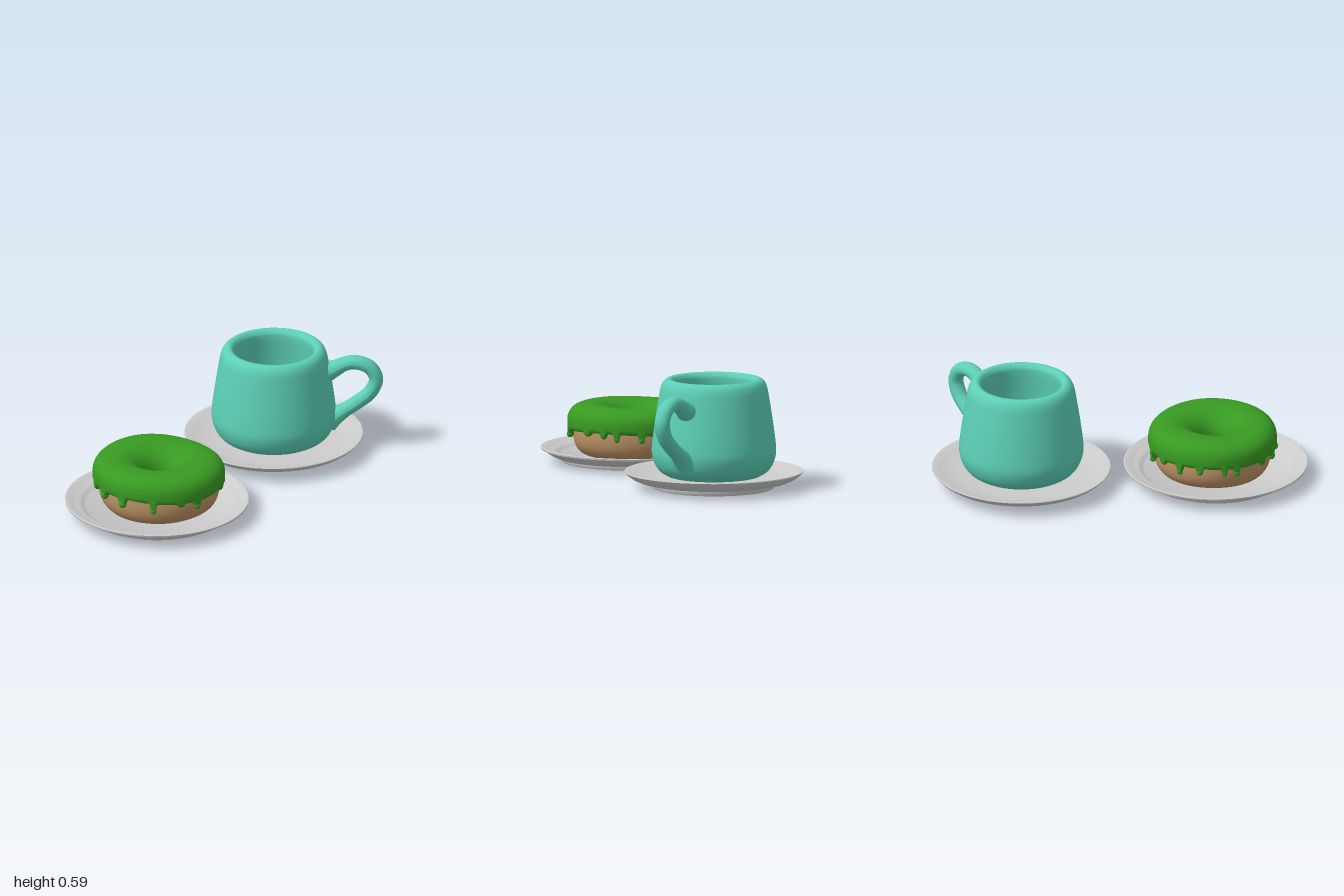
import * as THREE from 'three';
import { toCreasedNormals } from 'three/addons/utils/BufferGeometryUtils.js';

const glaze = new THREE.MeshStandardMaterial({ color: 0x5ccfb5 });
const china = new THREE.MeshStandardMaterial({ color: 0xcccccc });
const icingGreen = new THREE.MeshStandardMaterial({ color: 0x389a22 });
const doughTan = new THREE.MeshStandardMaterial({ color: 0xba9164 });

glaze.name = 'turquoiseGlaze';
china.name = 'paleChina';
icingGreen.name = 'greenIcing';
doughTan.name = 'tanDough';

const vec = (pts) => pts.map(([x, y]) => new THREE.Vector2(x, y));

function mesh(name, geometry, material) {
  const m = new THREE.Mesh(geometry, material);
  m.name = name;
  return m;
}

// Lathe with sharp edges kept
function dish(name, pts) {
  return mesh(name, toCreasedNormals(new THREE.LatheGeometry(vec(pts), 96), 0.6), china);
}

// Closed ring whose [radius, height] section may change with the angle
function ringSweep(n, section) {
  const pos = [], idx = [];
  let m = 0;
  for (let i = 0; i < n; i++) {
    const a = (i / n) * Math.PI * 2;
    const pts = section(a);
    m = pts.length;
    for (const [r, y] of pts) pos.push(r * Math.sin(a), y, r * Math.cos(a));
  }
  for (let i = 0; i < n; i++) {
    const p = i * m, q = ((i + 1) % n) * m;
    for (let j = 0; j < m - 1; j++) {
      idx.push(p + j, p + j + 1, q + j, q + j, p + j + 1, q + j + 1);
    }
  }
  const g = new THREE.BufferGeometry();
  g.setAttribute('position', new THREE.Float32BufferAttribute(pos, 3));
  g.setIndex(idx);
  g.computeVertexNormals();
  return g;
}

// Signed power, for superellipse sections
const spow = (v, e) => Math.sign(v) * Math.pow(Math.abs(v), e);

function makeCup() {
  const cup = new THREE.Group();
  cup.name = 'cup';
  const profile = new THREE.SplineCurve(vec([
    [0.001, 0.06], [0.2, 0.06], [0.265, 0.078], [0.305, 0.115], [0.328, 0.175],
    [0.329, 0.235], [0.313, 0.36], [0.291, 0.5], [0.28, 0.55], [0.263, 0.578],
    [0.238, 0.588], [0.218, 0.575], [0.211, 0.54], [0.225, 0.4], [0.232, 0.25],
    [0.21, 0.165], [0.155, 0.13], [0.001, 0.13],
  ]));
  cup.add(mesh('cupBody', new THREE.LatheGeometry(profile.getPoints(100), 96), glaze));

  // Looped handle, flared where it joins the wall
  const path = new THREE.CatmullRomCurve3([
    [0.262, 0.44], [0.32, 0.465], [0.38, 0.495], [0.436, 0.504], [0.51, 0.475],
    [0.543, 0.41], [0.515, 0.335], [0.449, 0.276], [0.36, 0.215], [0.29, 0.17],
  ].map(([x, y]) => new THREE.Vector3(x, y, 0)));
  const segs = 72, sides = 20;
  const tube = new THREE.TubeGeometry(path, segs, 0.038, sides);
  const p = tube.attributes.position, v = new THREE.Vector3();
  for (let i = 0; i < p.count; i++) {
    const u = Math.floor(i / (sides + 1)) / segs;
    const c = path.getPointAt(u);
    const flare = 1 + 0.75 * Math.pow(Math.max(0, Math.abs(u - 0.5) * 2 - 0.6) / 0.4, 2);
    v.fromBufferAttribute(p, i).sub(c).multiplyScalar(flare);
    v.z *= 1.1;
    v.add(c);
    p.setXYZ(i, v.x, v.y, v.z);
  }
  tube.computeVertexNormals();
  const handle = mesh('cupHandle', tube, glaze);
  handle.rotation.y = 0.67;
  cup.add(handle);
  return cup;
}

// Icing drips: [angle from the front, length, half width]
const drips = [
  [-1.4, 0.035, 0.045], [-1.19, 0.035, 0.05], [-0.66, 0.027, 0.055], [-0.335, 0.032, 0.06],
  [0.07, 0.042, 0.065], [0.59, 0.052, 0.05], [1.03, 0.018, 0.06], [1.32, 0.036, 0.055],
  [1.98, 0.02, 0.06], [2.29, 0.028, 0.05], [2.51, 0.038, 0.045], [2.9, 0.036, 0.05],
  [-1.8, 0.03, 0.055], [-2.15, 0.045, 0.05], [-2.5, 0.025, 0.06], [-2.88, 0.05, 0.05],
];

function icingEdge(a) {
  let y = 0.188 + 0.005 * Math.sin(3 * a + 1);
  for (const [at, len, w] of drips) {
    const d = Math.atan2(Math.sin(a - at), Math.cos(a - at)) / w;
    y -= len * Math.exp(-d * d * d * d);
  }
  return y;
}

function makeDonut() {
  const donut = new THREE.Group();
  donut.name = 'donut';

  donut.add(mesh('dough', ringSweep(96, (a) => {
    const low = 0.0325 - 0.006 * Math.cos(2 * a) - 0.003 * Math.cos(a);
    const pts = [];
    for (let j = 0; j <= 40; j++) {
      const t = Math.PI - (j / 40) * Math.PI * 2;
      const s = spow(Math.sin(t), 0.87);
      pts.push([0.208 + 0.12 * spow(Math.cos(t), 0.87), 0.16 + s * (s > 0 ? 0.12 : 0.16 - low)]);
    }
    return pts;
  }), doughTan));

  donut.add(mesh('icing', ringSweep(360, (a) => {
    const top = 0.321 + 0.005 * Math.sin(2 * a - 0.6) + 0.003 * Math.cos(3 * a);
    const edge = icingEdge(a);
    const pts = [[0.1, 0.15], [0.087, 0.17]];
    for (let j = 0; j <= 28; j++) {
      const t = Math.PI * (1 - j / 28);
      const inner = t > Math.PI / 2;
      const e = inner ? 1 : 0.8;
      const base = inner ? 0.19 : 0.222;
      pts.push([
        0.237 + (inner ? 0.155 : 0.123) * spow(Math.cos(t), e),
        base + (top - base) * spow(Math.sin(t), e),
      ]);
    }
    // Rounded lower lip tucked back into the dough
    pts.push([0.36, edge + 0.022], [0.357, edge + 0.01], [0.35, edge + 0.002],
      [0.341, edge], [0.332, edge + 0.004], [0.318, edge + 0.014]);
    return pts;
  }), icingGreen));

  // Beads at the drip tips
  for (const [a, len, w] of drips) {
    if (len < 0.03) continue;
    const bead = mesh('dripBead', new THREE.SphereGeometry(w * 0.34, 16, 12), icingGreen);
    bead.position.set(0.346 * Math.sin(a), icingEdge(a) + 0.012, 0.346 * Math.cos(a));
    donut.add(bead);
  }
  donut.scale.z = 0.95;
  return donut;
}

export function createModel() {
  const model = new THREE.Group();
  model.name = 'cupAndDonut';

  const saucer = dish('saucer', [
    [0, 0.018], [0.285, 0.018], [0.292, 0.004], [0.3, 0], [0.315, 0.001], [0.32, 0.008],
    [0.322, 0.026], [0.36, 0.031], [0.4, 0.04], [0.435, 0.055], [0.46, 0.073], [0.475, 0.09],
    [0.473, 0.094], [0.466, 0.094], [0.43, 0.082], [0.38, 0.07], [0.32, 0.063], [0, 0.06],
  ]);
  const cup = makeCup();
  for (const part of [saucer, cup]) part.position.set(-0.04, 0, -0.525);

  const plate = dish('plate', [
    [0, 0.03], [0.355, 0.03], [0.36, 0.012], [0.366, 0.007], [0.376, 0.007], [0.38, 0.012],
    [0.382, 0.027], [0.41, 0.031], [0.44, 0.045], [0.47, 0.065], [0.488, 0.074], [0.49, 0.083],
    [0.486, 0.086], [0.476, 0.085], [0.45, 0.073], [0.425, 0.066], [0.408, 0.064],
    [0.395, 0.054], [0.38, 0.046], [0, 0.045],
  ]);
  plate.position.set(0.02, 0, 0.51);
  const donut = makeDonut();
  donut.position.set(0.017, 0, 0.492);

  model.add(saucer, cup, plate, donut);
  return model;
}
